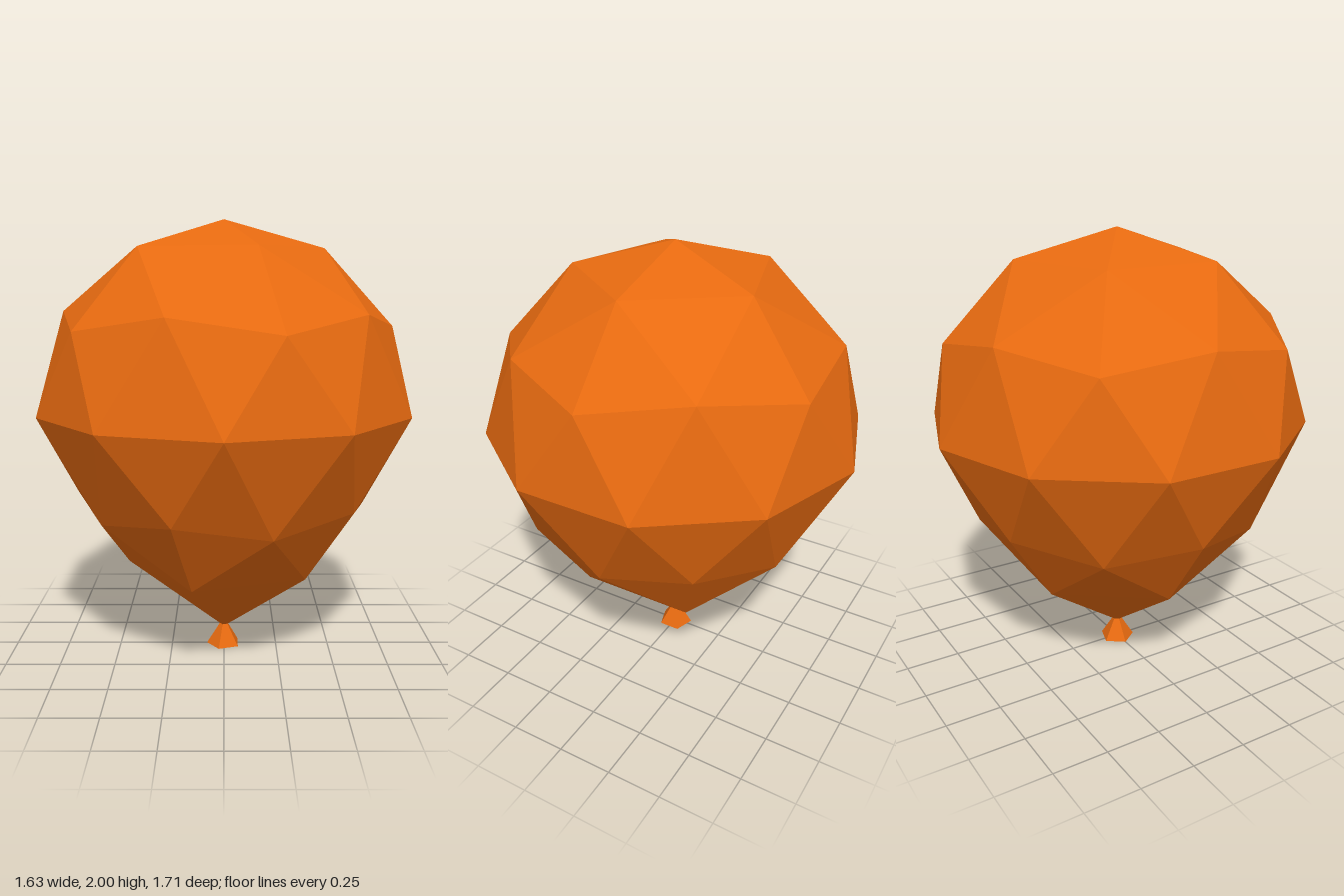
import * as THREE from 'three';

// Point on a ring; step counts 36 degree turns from +x towards +z
const ring = (radius, y) => (step) => {
  const a = step * Math.PI / 5;
  return [radius * Math.cos(a), y, radius * Math.sin(a)];
};

// Repeats the triangles of one fifth around the y axis
function fiveFold(name, facesAt, material) {
  const positions = [];
  for (let k = 0; k < 5; k++) positions.push(...facesAt(2 * k).flat(2));
  const geometry = new THREE.BufferGeometry();
  geometry.setAttribute('position', new THREE.Float32BufferAttribute(positions, 3));
  geometry.computeVertexNormals(); // unshared corners give flat facets
  const mesh = new THREE.Mesh(geometry, material);
  mesh.name = name;
  return mesh;
}

export function createModel() {
  const orange = new THREE.MeshStandardMaterial({ color: 0xe76a10 });
  orange.name = 'orange rubber';
  orange.flatShading = true;

  // Rings from the crown down to the knot
  const top = [0, 2, 0];
  const crown = ring(0.45, 1.874);
  const upperLow = ring(0.766, 1.528);
  const upperHigh = ring(0.729, 1.595);
  const equator = ring(0.857, 1.145);
  const lowerHigh = ring(0.685, 0.757);
  const lowerLow = ring(0.65, 0.697);
  const base = ring(0.45, 0.413);
  const neck = ring(0.02, 0.1);
  const lip = ring(0.082, 0);
  const hollow = [0, 0.05, 0];

  const group = new THREE.Group();
  group.name = 'balloon';

  // Faceted body: an icosphere drawn down to a narrow neck
  group.add(fiveFold('balloonBody', (s) => [
    [crown(s), top, crown(s + 2)],
    [crown(s), crown(s + 2), upperHigh(s + 1)],
    [upperLow(s), crown(s), upperHigh(s + 1)],
    [upperHigh(s + 1), crown(s + 2), upperLow(s + 2)],
    // band above the equator
    [equator(s - 0.5), upperLow(s), equator(s + 0.5)],
    [equator(s + 0.5), upperHigh(s + 1), equator(s + 1.5)],
    [upperLow(s), upperHigh(s + 1), equator(s + 0.5)],
    [upperHigh(s + 1), upperLow(s + 2), equator(s + 1.5)],
    // band below the equator
    [equator(s - 0.5), equator(s + 0.5), lowerLow(s)],
    [equator(s + 0.5), equator(s + 1.5), lowerHigh(s + 1)],
    [lowerLow(s), equator(s + 0.5), lowerHigh(s + 1)],
    [lowerHigh(s + 1), equator(s + 1.5), lowerLow(s + 2)],
    // taper to the neck
    [lowerLow(s), lowerHigh(s + 1), base(s + 1)],
    [lowerHigh(s + 1), lowerLow(s + 2), base(s + 1)],
    [base(s + 1), lowerLow(s + 2), base(s + 3)],
    [base(s + 1), base(s + 3), neck(s + 1)],
    [neck(s + 1), base(s + 3), neck(s + 3)],
  ], orange));

  // Flared mouth with a hollow underside
  group.add(fiveFold('knot', (s) => [
    [neck(s + 1), neck(s + 3), lip(s + 1)],
    [lip(s + 1), neck(s + 3), lip(s + 3)],
    [lip(s + 1), lip(s + 3), hollow],
  ], orange));

  return group;
}
